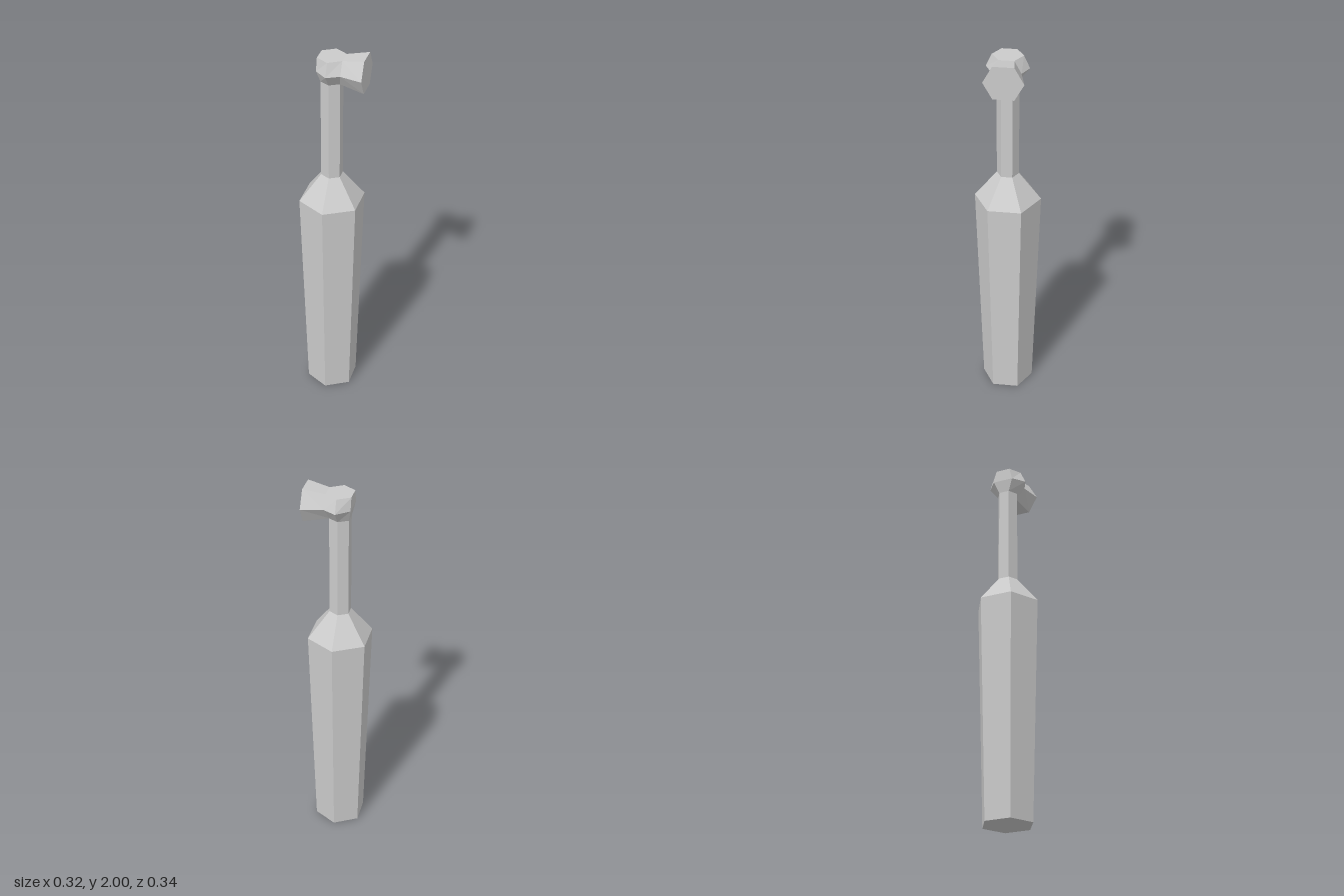
import * as THREE from 'three';

const AXIS_X = -0.0125;

// Skins cross-sections listed clockwise as seen from the end; the last one is capped.
function loft(rings, closed) {
  const pos = [];
  const n = rings[0].length;
  for (let r = 0; r < rings.length - 1; r++) {
    for (let i = 0; i < (closed ? n : n - 1); i++) {
      const j = (i + 1) % n;
      const a = rings[r][i], b = rings[r][j], c = rings[r + 1][i], d = rings[r + 1][j];
      pos.push(...b, ...a, ...c, ...b, ...c, ...d);
    }
  }
  const end = rings[rings.length - 1];
  for (let i = 1; i < n - 1; i++) pos.push(...end[0], ...end[i + 1], ...end[i]);
  const geometry = new THREE.BufferGeometry();
  geometry.setAttribute('position', new THREE.Float32BufferAttribute(pos, 3));
  geometry.computeVertexNormals();
  return geometry;
}

// Horizontal six-point section of the head, open towards the nozzle
function headRing(y, right, zRight, zMid, left, zLeft) {
  const half = [[right, zRight], [AXIS_X, zMid], [left, zLeft]];
  return [
    ...half.map(([x, z]) => [x, y, z]),
    ...half.reverse().map(([x, z]) => [x, y, -z]),
  ];
}

// Upright hexagonal section of the nozzle
function nozzleRing(xUpper, xLower, yTop, yMid, yBottom, zTop, zMid, zBottom) {
  return [
    [xUpper, yMid, zMid], [xUpper, yTop, zTop], [xUpper, yTop, -zTop],
    [xUpper, yMid, -zMid], [xLower, yBottom, -zBottom], [xLower, yBottom, zBottom],
  ];
}

export function createModel() {
  const group = new THREE.Group();
  const material = new THREE.MeshStandardMaterial({ color: 0xcccccc, flatShading: true });
  const add = (name, geometry) => {
    const mesh = new THREE.Mesh(geometry, material);
    mesh.name = name;
    group.add(mesh);
    return mesh;
  };
  const lathe = (points) =>
    new THREE.LatheGeometry(points.map(([r, y]) => new THREE.Vector2(r, y)), 6);

  // Tapered handle with sloping shoulder
  add('handle', lathe([[0, 0], [0.135, 0], [0.17, 1.18], [0.056, 1.325]])).position.x = AXIS_X;

  // Slim neck
  add('neck', lathe([[0.056, 1.325], [0.056, 1.85]])).position.x = AXIS_X;

  // Head flaring out from the neck
  add('head', loft([
    headRing(1.85, 0.036, 0.028, 0.056, -0.061, 0.028),
    headRing(1.915, 0.05, 0.073, 0.106, -0.075, 0.054),
    headRing(1.98, 0.05, 0.038, 0.077, -0.075, 0.038),
  ], false));

  // Side nozzle widening to a flat end
  add('nozzle', loft([
    nozzleRing(0.05, 0.036, 1.98, 1.915, 1.85, 0.038, 0.073, 0.028),
    nozzleRing(0.16, 0.16, 2, 1.915, 1.83, 0.052, 0.099, 0.052),
  ], true));

  return group;
}
